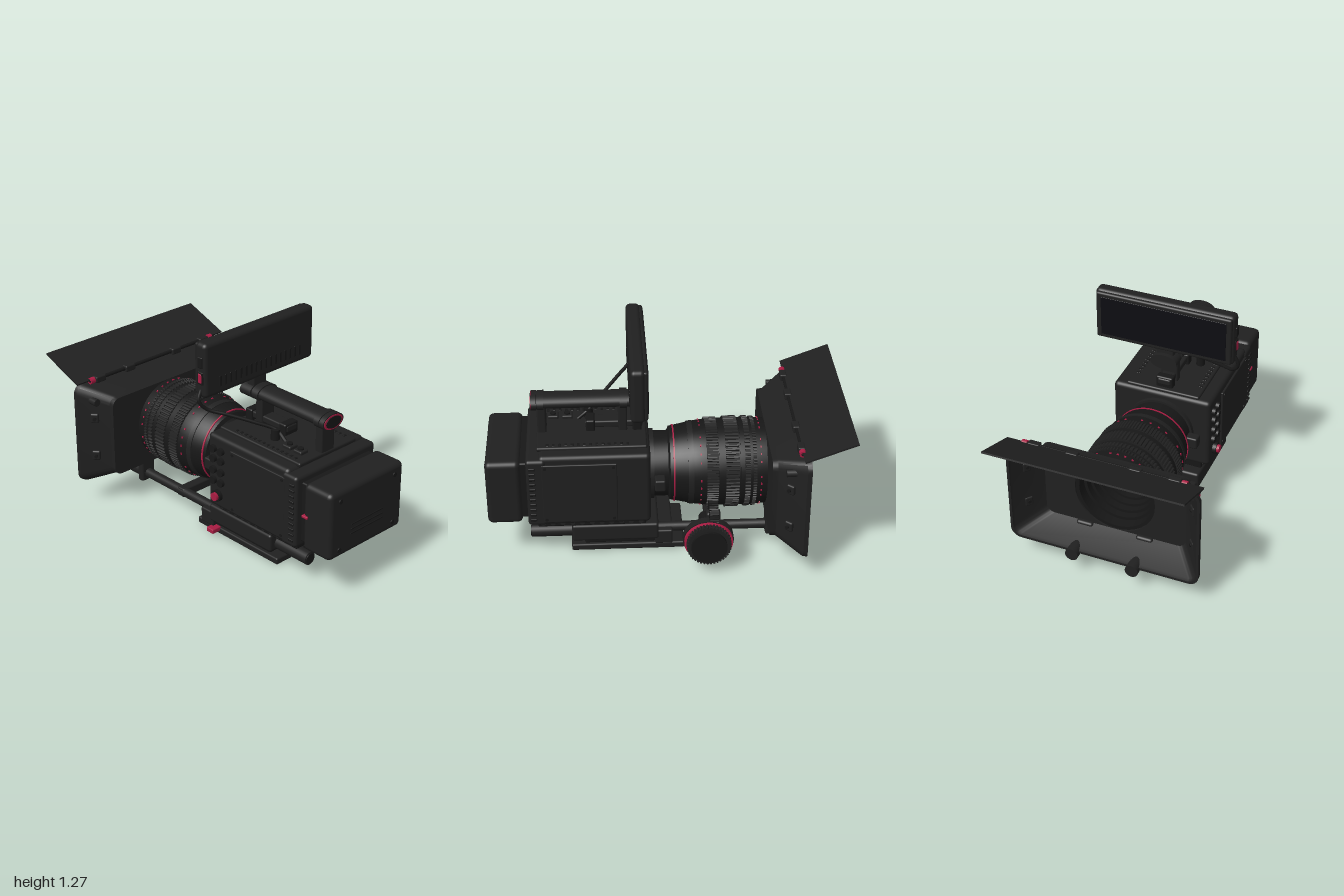
import * as THREE from 'three';
import { toCreasedNormals, mergeGeometries } from 'three/addons/utils/BufferGeometryUtils.js';
import { RoundedBoxGeometry } from 'three/addons/geometries/RoundedBoxGeometry.js';

const AXIS_Y = 0.455; // height of the optical axis

export function createModel() {
  const root = new THREE.Group();
  const mat = (name, color) => {
    const m = new THREE.MeshStandardMaterial({ color });
    m.name = name;
    return m;
  };
  const black = mat('black', 0x202020);
  const dark = mat('darkBlack', 0x171717);
  const red = mat('crimson', 0xa81c42);
  const glass = mat('glass', 0x0d0d12);

  const add = (name, geo, m, x = 0, y = 0, z = 0) => {
    const mesh = new THREE.Mesh(geo, m);
    mesh.name = name;
    mesh.position.set(x, y, z);
    root.add(mesh);
    return mesh;
  };
  // Rounded box given by its extents
  const box = (name, m, x0, x1, y0, y1, z0, z1, r = 0.01) =>
    add(name, new RoundedBoxGeometry(x1 - x0, y1 - y0, z1 - z0, 3, r), m,
      (x0 + x1) / 2, (y0 + y1) / 2, (z0 + z1) / 2);
  // Cylinder along x, y or z
  const cyl = (name, m, axis, r, len, x, y, z, seg = 24) => {
    const g = new THREE.CylinderGeometry(r, r, len, seg);
    if (axis === 'x') g.rotateZ(-Math.PI / 2);
    if (axis === 'z') g.rotateX(Math.PI / 2);
    return add(name, g, m, x, y, z);
  };
  // Solid turned around the x axis; points are [x, radius]
  const turned = (pts, seg = 64) => toCreasedNormals(
    new THREE.LatheGeometry(pts.map(([x, r]) => new THREE.Vector2(r, x)), seg).rotateZ(-Math.PI / 2), 0.5);
  // Toothed disc along z, optionally with a bore
  const gear = (r, depth, teeth, len, bore = 0) => {
    const pts = [];
    for (let i = 0; i < teeth; i++) {
      [[0, 0], [0.2, depth], [0.6, depth], [0.8, 0]].forEach(([f, d]) => {
        const a = (i + f) / teeth * Math.PI * 2;
        pts.push(new THREE.Vector2(Math.cos(a) * (r - depth + d), Math.sin(a) * (r - depth + d)));
      });
    }
    const s = new THREE.Shape(pts);
    if (bore) s.holes.push(new THREE.Path().absarc(0, 0, bore, 0, Math.PI * 2, true));
    return new THREE.ExtrudeGeometry(s, { depth: len, bevelEnabled: false }).translate(0, 0, -len / 2);
  };

  // Matte box: rounded-rectangle sections [x, halfWidth, halfHeight, corner]
  const sections = [
    [-0.765, 0.555, 0.315, 0.06], [-0.74, 0.555, 0.31, 0.06], [-0.6, 0.43, 0.247, 0.05],
    [-0.57, 0.43, 0.245, 0.05], [-0.57, 0.236, 0.236, 0.236], [-0.59, 0.236, 0.236, 0.236],
    [-0.59, 0.415, 0.232, 0.05], [-0.745, 0.535, 0.295, 0.05], [-0.765, 0.54, 0.3, 0.05],
    [-0.765, 0.555, 0.315, 0.06],
  ];
  const n = 40, pos = [], idx = [];
  for (const [x, w, h, r] of sections) {
    for (let i = 0; i < n; i++) {
      const c = Math.floor(i / 10), a = (c + (i % 10) / 9) * Math.PI / 2;
      const sz = c === 0 || c === 3 ? 1 : -1, sy = c < 2 ? 1 : -1;
      pos.push(x, AXIS_Y + sy * (h - r) + r * Math.sin(a), sz * (w - r) + r * Math.cos(a));
    }
  }
  for (let s = 0; s < sections.length - 1; s++) {
    for (let i = 0; i < n; i++) {
      const a = s * n + i, b = s * n + (i + 1) % n;
      idx.push(a, a + n, b, b, a + n, b + n);
    }
  }
  const hood = new THREE.BufferGeometry();
  hood.setAttribute('position', new THREE.Float32BufferAttribute(pos, 3));
  hood.setIndex(idx);
  black.side = THREE.DoubleSide;
  add('matteBox', toCreasedNormals(hood, 0.6), black);

  // Top flag with its hinge
  const flag = add('topFlag', new THREE.BoxGeometry(0.3, 0.01, 1.12), black, -0.862, 0.838, 0);
  flag.rotation.z = -Math.atan2(0.105, 0.28);
  cyl('flagHinge', dark, 'z', 0.011, 0.94, -0.722, 0.782, 0, 12);
  for (const s of [-1, 1]) {
    cyl('hingeCap', red, 'z', 0.019, 0.03, -0.722, 0.782, s * 0.455, 16);
    for (const z of [0.4, 0.18]) box('hingeClip', black, -0.74, -0.7, 0.762, 0.8, s * z - 0.035, s * z + 0.035, 0.008);
    // Side locks on the sloping walls
    for (const y of [0.335, 0.575]) {
      const g = box('sideLock', black, -0.692, -0.642, y - 0.03, y + 0.03, s * 0.488 - 0.017, s * 0.488 + 0.017, 0.01);
      g.rotation.y = s * 0.73;
      const p = cyl('lockPin', dark, 'z', 0.01, 0.05, -0.663, y, s * 0.49, 12);
      p.rotation.y = s * 0.73;
    }
    cyl('cornerKnob', black, 'x', 0.022, 0.06, -0.665, 0.68, s * 0.49, 16);
  }

  // Lens barrel with a stepped inner bore
  add('lensBarrel', turned([
    [-0.36, 0.15], [-0.4, 0.15], [-0.4, 0.165], [-0.44, 0.165], [-0.44, 0.18], [-0.48, 0.18],
    [-0.48, 0.197], [-0.52, 0.197], [-0.52, 0.215], [-0.58, 0.215], [-0.58, 0.243], [-0.49, 0.25],
    [-0.42, 0.25], [-0.42, 0.243], [-0.34, 0.243], [-0.34, 0.25], [-0.3, 0.25], [-0.3, 0.243],
    [-0.23, 0.243], [-0.23, 0.245], [-0.17, 0.238], [-0.09, 0.222], [-0.03, 0.21], [-0.02, 0.187], [0.11, 0.187],
  ]), dark);
  add('frontElement', turned([[-0.39, 0.001], [-0.385, 0.07], [-0.365, 0.152]].map(([x, r]) => [x, r]).reverse()), glass, 0, AXIS_Y, 0);
  root.getObjectByName('lensBarrel').position.y = AXIS_Y;
  for (const [name, x, len, r, teeth] of [
    ['frontRing', -0.5, 0.02, 0.256, 90], ['focusRing', -0.375, 0.075, 0.26, 72],
    ['focusRing', -0.46, 0.03, 0.258, 72], ['zoomRing', -0.265, 0.065, 0.256, 90]]) {
    add(name, gear(r, 0.008, teeth, len, 0.235).rotateY(Math.PI / 2), black, x, AXIS_Y, 0);
  }
  add('redLensRing', turned([[-0.056, 0.212], [-0.056, 0.22], [-0.048, 0.219], [-0.048, 0.21]]), red, 0, AXIS_Y, 0);
  add('irisRing', turned([[-0.16, 0.22], [-0.16, 0.24], [-0.13, 0.235], [-0.13, 0.22]]), black, 0, AXIS_Y, 0);
  // Painted scale marks
  const marks = [];
  for (const [x, r, count] of [[-0.535, 0.248, 36], [-0.2, 0.243, 30]]) {
    for (let i = 0; i < count; i++) {
      if (i % 5 === 4) continue;
      marks.push(new THREE.BoxGeometry(0.007, 0.006, 0.012).translate(x, r, 0).rotateX(i / count * Math.PI * 2));
    }
  }
  add('scaleMarks', mergeGeometries(marks), red, 0, AXIS_Y, 0);
  cyl('mountRing', black, 'x', 0.2, 0.04, 0.08, AXIS_Y, 0, 48);
  box('mountLugs', black, 0, 0.06, 0.42, 0.49, -0.25, 0.25);

  // Camera body
  box('body', black, 0.085, 0.7, 0.25, 0.695, -0.295, 0.295, 0.025);
  box('rearBody', black, 0.66, 0.77, 0.255, 0.678, -0.305, 0.305, 0.02);
  box('topPlate', black, 0.1, 0.71, 0.685, 0.71, -0.22, 0.22, 0.01);
  box('bottomRail', dark, 0.11, 0.72, 0.2, 0.26, -0.24, 0.24, 0.01);
  for (const s of [-1, 1]) {
    box('sidePanel', black, 0.27, 0.685, 0.275, 0.65, s * 0.297 - 0.01, s * 0.297 + 0.01, 0.006);
    for (const x of [0.29, 0.665]) for (const y of [0.295, 0.63]) cyl('panelScrew', dark, 'z', 0.009, 0.012, x, y, s * 0.304, 12);
    for (let i = 0; i < 11; i++) {
      cyl('railHole', black, 'z', 0.014, 0.01, 0.14 + i * 0.055, 0.225, s * 0.24, 12);
      box('sideVent', dark, 0.72, 0.755, 0.29 + i * 0.033, 0.305 + i * 0.033, s * 0.306 - 0.006, s * 0.306 + 0.006, 0.004);
    }
    for (let i = 0; i < 14; i++) box('topVent', dark, 0.2 + i * 0.034, 0.215 + i * 0.034, 0.707, 0.713, s * 0.19 - 0.012, s * 0.19 + 0.012, 0.002);
  }
  for (const y of [0.42, 0.485, 0.555, 0.615])
    for (const x of [0.135, 0.195]) cyl('controlButton', dark, 'z', 0.022, 0.03, x, y, 0.3, 20);
  cyl('recordBase', dark, 'z', 0.034, 0.03, 0.167, 0.333, 0.302);
  cyl('recordButton', red, 'z', 0.024, 0.03, 0.167, 0.333, 0.318);
  for (const x of [0.54, 0.62]) {
    box('topButton', black, x - 0.03, x + 0.03, 0.7, 0.728, 0.09, 0.15, 0.008);
    cyl('topButtonCap', dark, 'y', 0.017, 0.014, x, 0.73, 0.12, 16);
  }

  // Battery
  box('batteryMount', dark, 0.76, 0.81, 0.285, 0.64, -0.26, 0.26, 0.01);
  box('battery', black, 0.8, 0.995, 0.26, 0.657, -0.285, 0.285, 0.03);
  for (const y of [0.43, 0.402, 0.375]) box('batterySlot', dark, 0.99, 0.999, y - 0.004, y + 0.004, -0.125, 0.125, 0.002);
  for (const y of [0.31, 0.6]) for (const z of [-0.21, 0.21]) cyl('batteryScrew', dark, 'x', 0.013, 0.01, 0.995, y, z, 16);
  box('batteryRelease', red, 0.8, 0.84, 0.458, 0.474, 0.27, 0.296, 0.005);

  // Top handle
  const oval = (name, m, r, x0, x1) => {
    cyl(name, m, 'x', r, x1 - x0, (x0 + x1) / 2, 0.89, 0, 40).scale.z = 1.72;
  };
  oval('handleGrip', black, 0.04, 0.12, 0.73);
  for (const [a, b] of [[0.11, 0.19], [0.205, 0.245], [0.665, 0.7], [0.705, 0.735]]) oval('handleCollar', black, 0.046, a, b);
  oval('handleEndRing', red, 0.041, 0.73, 0.738);
  oval('handleEndCap', dark, 0.033, 0.735, 0.741);
  for (const x of [0.23, 0.68]) box('handlePost', black, x - 0.025, x + 0.025, 0.7, 0.87, -0.05, 0.05);
  box('accessoryRail', black, 0.12, 0.44, 0.725, 0.765, -0.04, 0.04);
  for (const x of [0.15, 0.41]) box('railFoot', dark, x - 0.025, x + 0.025, 0.7, 0.775, -0.05, 0.05);

  // Monitor on its bracket
  box('monitorBracket', black, 0.135, 0.19, 0.9, 0.98, -0.05, 0.05);
  box('monitor', black, 0.115, 0.195, 0.962, 1.275, -0.41, 0.41, 0.025);
  box('monitorBezel', black, 0.1, 0.13, 0.975, 1.265, -0.4, 0.4, 0.012);
  box('monitorScreen', glass, 0.097, 0.103, 1.0, 1.24, -0.37, 0.37, 0.002);
  for (let i = 0; i < 17; i++) {
    const z = -0.3 + i * 0.0375;
    box('monitorVent', dark, 0.192, 0.198, 1.01, 1.07, z - 0.007, z + 0.007, 0.002);
  }
  box('monitorButton', dark, 0.14, 0.175, 1.135, 1.2, 0.4, 0.418, 0.006);
  box('monitorRocker', dark, 0.138, 0.178, 1.04, 1.115, 0.4, 0.416, 0.006);
  box('monitorPower', red, 0.145, 0.171, 1.05, 1.105, 0.4, 0.42, 0.006);
  const cable = new THREE.CatmullRomCurve3([
    [0.155, 1.01, 0.405], [0.16, 0.95, 0.425], [0.18, 0.9, 0.39], [0.25, 0.86, 0.3],
    [0.34, 0.81, 0.19], [0.42, 0.76, 0.1], [0.48, 0.71, 0.09]].map(p => new THREE.Vector3(...p)));
  add('monitorCable', new THREE.TubeGeometry(cable, 48, 0.01, 10), dark);
  cyl('cablePlug', dark, 'y', 0.025, 0.06, 0.42, 0.74, 0.11, 20);

  // Support rods and base
  for (const z of [-0.178, 0.178]) {
    cyl('rod', black, 'x', 0.028, 1.5, -0.02, 0.138, z);
    cyl('rodFront', black, 'x', 0.038, 0.22, -0.68, 0.138, z);
    cyl('rodRear', black, 'x', 0.038, 0.25, 0.635, 0.138, z);
    cyl('rodRearCap', dark, 'x', 0.03, 0.01, 0.76, 0.138, z);
    box('rodClamp', black, -0.615, -0.57, 0.09, 0.23, z - 0.05, z + 0.05, 0.015);
  }
  box('basePlate', black, 0.04, 0.53, 0.1, 0.205, -0.25, 0.25, 0.015);
  box('baseFront', black, -0.04, 0.06, 0.06, 0.15, -0.24, 0.24);
  box('baseRiser', dark, -0.02, 0.46, 0.035, 0.105, -0.18, 0.18);
  box('dovetail', black, -0.11, 0.535, 0, 0.04, -0.2, 0.2);
  box('dovetailLever', red, 0.02, 0.075, 0.02, 0.048, 0.19, 0.255, 0.006);

  // Follow focus
  const fx = -0.23, fy = 0.19;
  cyl('focusDisc', black, 'z', 0.142, 0.045, fx, fy, -0.378, 48).scale.y = 0.87;
  cyl('focusRedBand', red, 'z', 0.136, 0.024, fx, fy, -0.413, 48).scale.y = 0.88;
  add('focusGrip', gear(0.125, 0.008, 40, 0.035), black, fx, fy, -0.442);
  cyl('focusCap', dark, 'z', 0.1, 0.02, fx, fy, -0.468, 40);
  cyl('focusShaft', dark, 'z', 0.04, 0.2, fx, fy, -0.27);
  box('focusArm', black, -0.3, -0.22, 0.1, 0.34, -0.36, -0.3, 0.015);
  box('focusBridge', black, -0.29, -0.23, 0.11, 0.165, -0.34, 0.2);
  add('driveGear', gear(0.075, 0.008, 32, 0.05).rotateY(Math.PI / 2), dark, -0.26, 0.325, -0.33);

  return root;
}
